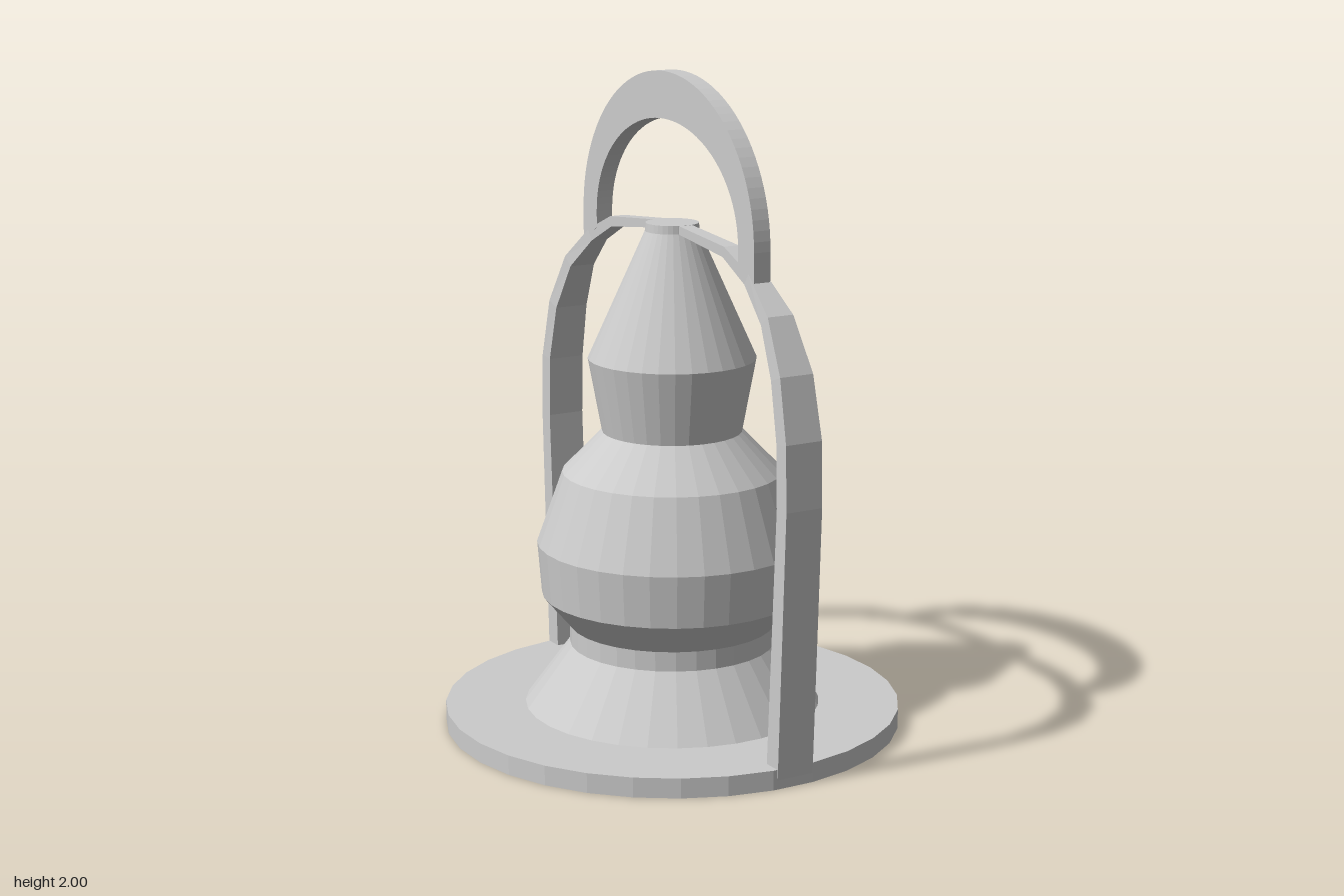
import * as THREE from 'three';

const SIDES = 32;
const material = new THREE.MeshStandardMaterial({ color: 0xcccccc, flatShading: true, side: THREE.DoubleSide });

function part(name, geometry) {
  const mesh = new THREE.Mesh(geometry, material);
  mesh.name = name;
  return mesh;
}

// Sweeps a rectangular section along stations of [x, y, thickness, depth].
function sweepBar(stations) {
  const positions = [];
  const indices = [];
  const last = stations.length - 1;
  stations.forEach(([x, y, thickness, depth], i) => {
    const p = stations[Math.max(i - 1, 0)];
    const q = stations[Math.min(i + 1, last)];
    const t = new THREE.Vector2(q[0] - p[0], q[1] - p[1]).normalize();
    for (const [sn, sz] of [[1, 1], [-1, 1], [-1, -1], [1, -1]]) {
      const n = sn * thickness / 2;
      positions.push(x + t.y * n, y - t.x * n, sz * depth / 2);
    }
    if (i === last) return;
    for (let k = 0; k < 4; k++) {
      const a = i * 4 + k;
      const b = i * 4 + (k + 1) % 4;
      indices.push(b, a, a + 4, b, a + 4, b + 4);
    }
  });
  const geometry = new THREE.BufferGeometry();
  geometry.setAttribute('position', new THREE.Float32BufferAttribute(positions, 3));
  geometry.setIndex(indices);
  geometry.computeVertexNormals();
  return geometry;
}

export function createModel() {
  const model = new THREE.Group();
  model.name = 'lantern';

  // Flat round base
  const base = part('basePlate', new THREE.CylinderGeometry(0.7, 0.7, 0.06, SIDES));
  base.position.y = 0.03;
  model.add(base);

  // Turned body: foot, collar, bulb, neck and tapered cap
  const profile = [
    [0.455, 0.058], [0.315, 0.25], [0.315, 0.31], [0.4, 0.41], [0.413, 0.57],
    [0.335, 0.79], [0.213, 0.915], [0.255, 1.14], [0.082, 1.525], [0.08, 1.55], [0, 1.55],
  ].map(([r, y]) => new THREE.Vector2(r, y));
  model.add(part('body', new THREE.LatheGeometry(profile, SIDES)));

  // Frame and handle share one plane, turned slightly about the vertical
  const carrier = new THREE.Group();
  carrier.name = 'carrier';
  carrier.rotation.y = -0.288;
  model.add(carrier);

  // Frame: broad legs narrowing into a thin bar over the cap
  const half = [
    [0.668, 0.03, 0.06, 0.12], [0.705, 0.83, 0.05, 0.12], [0.7, 1.02, 0.05, 0.12],
    [0.66, 1.2, 0.05, 0.11], [0.58, 1.35, 0.045, 0.085], [0.46, 1.45, 0.04, 0.055],
    [0.33, 1.51, 0.032, 0.05], [0.08, 1.537, 0.025, 0.045],
  ];
  const mirrored = half.map(([x, y, t, d]) => [-x, y, t, d]).reverse();
  carrier.add(part('frame', sweepBar([...half, ...mirrored])));

  // Handle: arch thicker at the crown, its feet resting on the frame
  const arch = new THREE.Shape();
  arch.moveTo(0.5, 1.43);
  arch.lineTo(0.5, 1.53);
  arch.absellipse(0, 1.53, 0.5, 0.47, 0, Math.PI, false);
  arch.lineTo(-0.5, 1.43);
  arch.lineTo(-0.415, 1.48);
  arch.lineTo(-0.415, 1.53);
  arch.absellipse(0, 1.53, 0.415, 0.33, Math.PI, 0, true);
  arch.lineTo(0.415, 1.48);
  const depth = 0.055;
  const handle = new THREE.ExtrudeGeometry(arch, { depth, bevelEnabled: false, curveSegments: 24 });
  handle.translate(0, 0, -depth / 2);
  carrier.add(part('handle', handle));

  return model;
}
